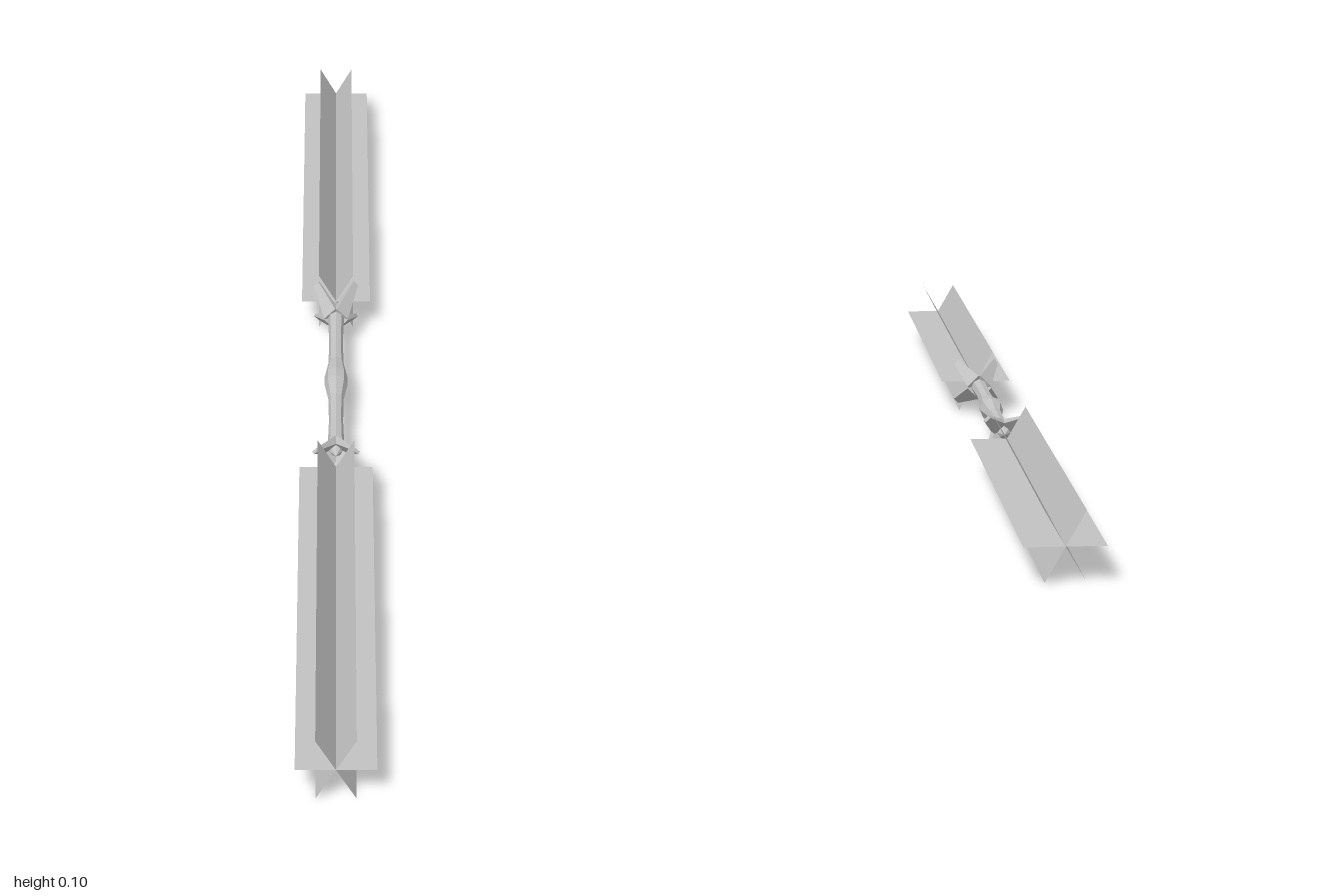
import * as THREE from 'three';

export function createModel() {
  const grey = new THREE.MeshStandardMaterial({ color: 0xc2c2c2, side: THREE.DoubleSide, flatShading: true });
  grey.name = 'grey';

  const model = new THREE.Group();
  model.name = 'doubleEndedStaff';
  const core = new THREE.Group();
  core.name = 'core';
  core.position.y = 0.048;
  model.add(core);

  const add = (parent, geometry, name) => {
    const mesh = new THREE.Mesh(geometry, grey);
    mesh.name = name;
    parent.add(mesh);
    return mesh;
  };

  // Handle: slim rod swelling at the middle and at both collars
  const half = [[0.018, 0.012], [0.012, 0.055], [0.011, 0.12], [0.013, 0.2], [0, 0.22]];
  const profile = [
    ...half.slice().reverse().map(([r, z]) => new THREE.Vector2(r, -z)),
    ...half.map(([r, z]) => new THREE.Vector2(r, z)),
  ];
  add(core, new THREE.LatheGeometry(profile, 8).rotateX(Math.PI / 2), 'handle');

  const bladeRadius = 0.0555, bladeStart = 0.25, bladeEnd = 1;
  const bladeLength = bladeEnd - bladeStart;
  const from = new THREE.Vector3(0.009, 0, 0.195);
  const to = new THREE.Vector3(0.044, 0, 0.254);
  const span = to.clone().sub(from);

  for (const [name, turn] of [['front', 0], ['back', Math.PI]]) {
    const end = new THREE.Group();
    end.name = name + 'End';
    end.rotation.y = turn;
    core.add(end);

    // Blade: three crossed sheets, sixty degrees apart
    for (let i = 0; i < 3; i++) {
      const sheet = new THREE.PlaneGeometry(bladeRadius * 2, bladeLength)
        .rotateX(-Math.PI / 2)
        .translate(0, 0, bladeStart + bladeLength / 2)
        .rotateZ(i * Math.PI / 3);
      add(end, sheet, 'bladeSheet');
    }

    // Four tapered prongs flaring out on the diagonals
    for (let i = 0; i < 4; i++) {
      const prong = new THREE.CylinderGeometry(0.007, 0.018, span.length(), 4)
        .rotateY(Math.PI / 4)
        .scale(0.5, 1, 1)
        .rotateX(Math.PI / 2)
        .rotateY(Math.atan2(span.x, span.z))
        .translate((from.x + to.x) / 2, 0, (from.z + to.z) / 2)
        .rotateZ(Math.PI / 4 + i * Math.PI / 2);
      add(end, prong, 'prong');
    }
  }
  return model;
}
